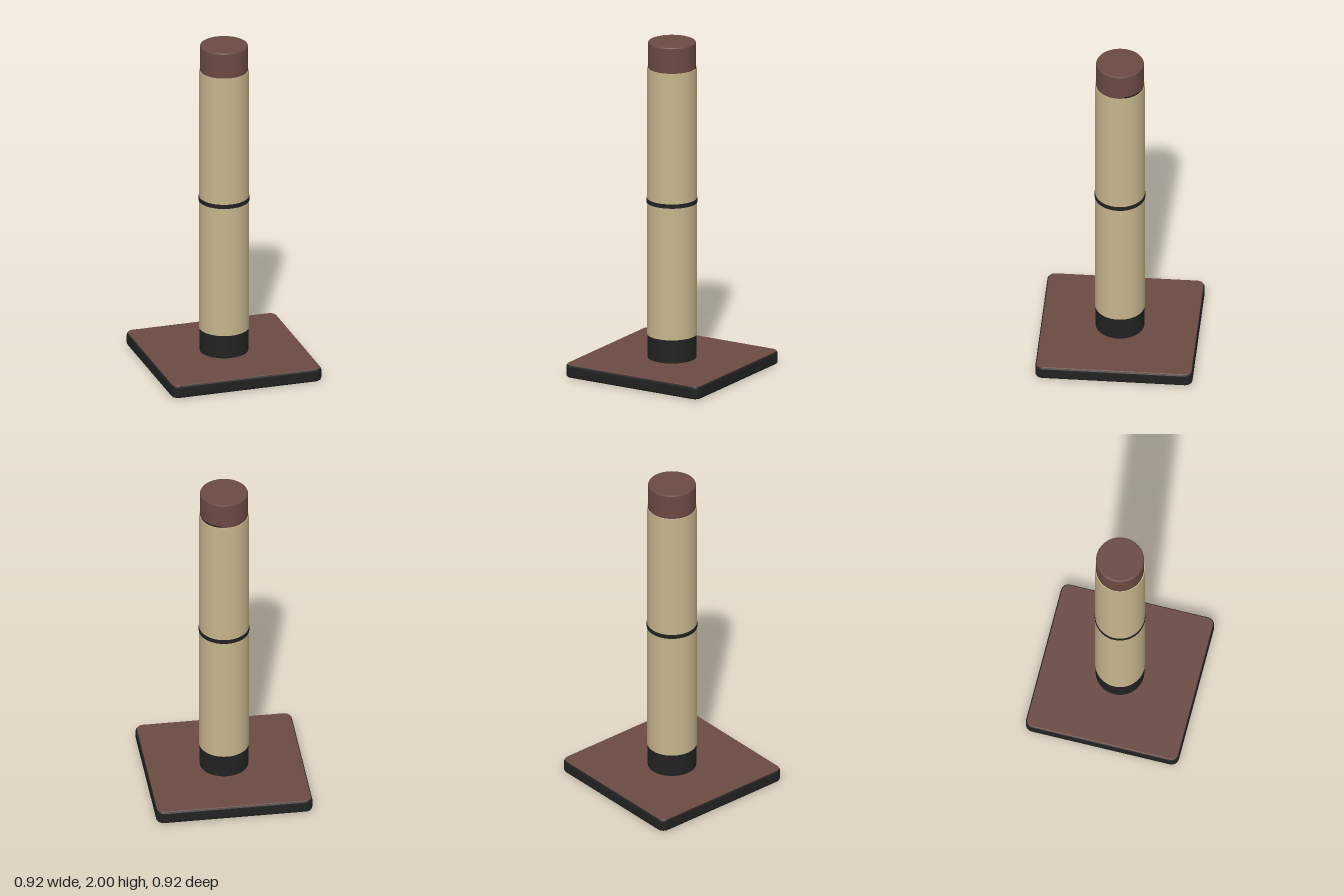
import * as THREE from 'three';

const paint = (name, color) => {
  const m = new THREE.MeshStandardMaterial({ color });
  m.name = name;
  return m;
};

// Lathe from [radius, height] points; corners are doubled to keep edges sharp
function turned(points) {
  const sharp = points.flatMap(([r, y]) => [new THREE.Vector2(r, y), new THREE.Vector2(r, y)]).slice(1, -1);
  return new THREE.LatheGeometry(sharp, 48);
}

// Flat slab with rounded corners and softened edges, from y0 to y1
function slab(half, corner, bevel, y0, y1) {
  const h = half - bevel, r = corner - bevel;
  const shape = new THREE.Shape();
  for (let i = 0; i < 4; i++) {
    const a = i * Math.PI / 2;
    const sx = i === 0 || i === 3 ? 1 : -1, sy = i < 2 ? 1 : -1;
    shape.absarc(sx * (h - r), sy * (h - r), r, a, a + Math.PI / 2, false);
  }
  shape.closePath();
  const geo = new THREE.ExtrudeGeometry(shape, {
    depth: y1 - y0 - 2 * bevel, bevelThickness: bevel, bevelSize: bevel, bevelSegments: 4, curveSegments: 8,
  });
  geo.rotateX(-Math.PI / 2);
  geo.translate(0, y0 + bevel, 0);
  return geo;
}

export function createModel() {
  const group = new THREE.Group();
  const black = paint('black', 0x222223);
  const brown = paint('brown carpet', 0x6a4a43);
  const tan = paint('tan rope', 0xc6b58c);
  const add = (name, geo, mat) => {
    const mesh = new THREE.Mesh(geo, mat);
    mesh.name = name;
    group.add(mesh);
    return mesh;
  };

  // Square foot with a carpet on top
  add('base', slab(0.46, 0.045, 0.015, 0, 0.079), black);
  add('baseCarpet', slab(0.454, 0.04, 0.005, 0.07, 0.081), brown);

  // Post: collar, wrapped column, middle band, cap
  add('collar', turned([[0, 0.07], [0.142, 0.07], [0.142, 0.224], [0, 0.224]]), black);
  add('post', turned([[0, 0.222], [0.145, 0.222], [0.145, 1.842], [0, 1.842]]), tan);
  add('middleBand', turned([[0.14, 1.024], [0.148, 1.024], [0.148, 1.049], [0.14, 1.049]]), black);
  add('cap', turned([[0, 1.835], [0.14, 1.835], [0.14, 1.992], [0.137, 1.998], [0.132, 2], [0, 2]]), brown);

  // Short dark seam under the cap, on the back right
  const seamSpan = 1.05;
  const seam = new THREE.CylinderGeometry(0.1408, 0.1408, 0.01, 12, 1, true, Math.PI * 0.75 - seamSpan / 2, seamSpan);
  seam.translate(0, 1.847, 0);
  add('capSeam', seam, black);

  return group;
}
